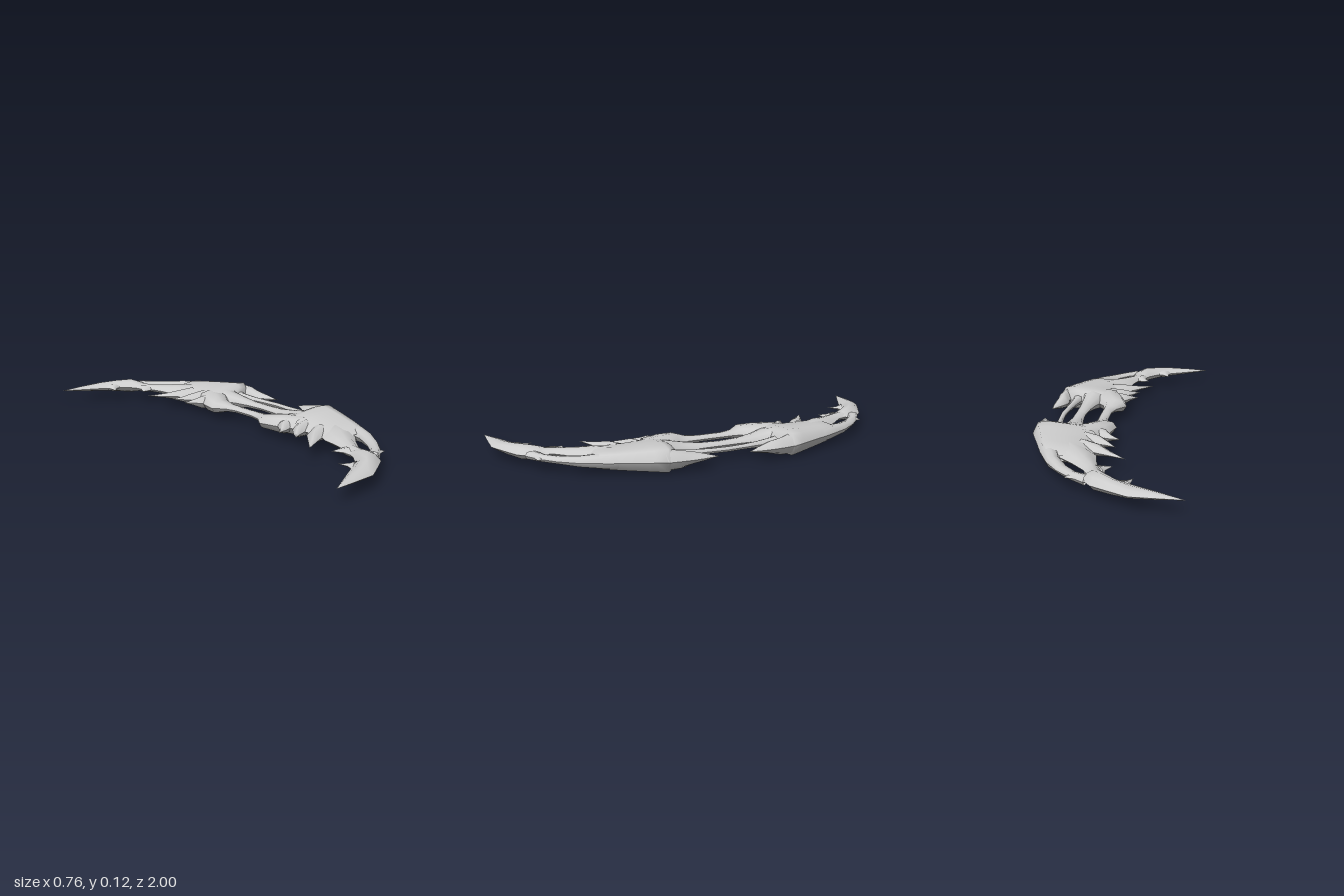
import * as THREE from 'three';
import { mergeGeometries } from 'three/addons/utils/BufferGeometryUtils.js';

const MID = 0.061; // height of the cutting-edge plane

// Cross-section profiles: [fraction across, fraction of height]
const LENS = [[0, 0], [0.22, 0.7], [0.5, 1], [0.78, 0.7], [1, 0]];
const HUMP = [[0, 0], [0.18, 0.62], [0.5, 0.85], [0.77, 1], [0.92, 0.88], [1, 0]];
const BAR = [[0, 0], [0.15, 0.8], [0.5, 1], [0.85, 0.8], [1, 0]];

// One curved skin lofted over stations [ax, az, bx, bz, height]
function skin(stations, profile, sy, sz) {
  const pos = [], index = [], n = profile.length;
  for (const [ax, az, bx, bz, h] of stations) {
    for (const [u, v] of profile) {
      pos.push(ax + (bx - ax) * u, MID + sy * h * v, sz * (az + (bz - az) * u));
    }
  }
  // Work out which way the skin faces so it always points outward
  const f = stations[0], l = stations[stations.length - 1];
  const dx = l[0] + l[2] - f[0] - f[2], dz = l[1] + l[3] - f[1] - f[3];
  let wx = 0, wz = 0;
  for (const s of stations) { wx += s[2] - s[0]; wz += s[3] - s[1]; }
  const flip = (dz * wx - dx * wz) * sy * sz < 0;
  for (let i = 0; i < stations.length - 1; i++) {
    for (let j = 0; j < n - 1; j++) {
      const a = i * n + j, b = a + n, c = a + 1, d = b + 1;
      if (flip) index.push(a, c, b, b, c, d);
      else index.push(a, b, c, b, d, c);
    }
  }
  const g = new THREE.BufferGeometry();
  g.setAttribute('position', new THREE.Float32BufferAttribute(pos, 3));
  g.setIndex(index);
  g.computeVertexNormals();
  return g;
}

export function createModel() {
  const metal = new THREE.MeshStandardMaterial({ color: 0xcccccc });
  metal.name = 'pale metal';
  metal.side = THREE.DoubleSide;
  const group = new THREE.Group();
  group.name = 'doubleBlade';

  // Upper and lower skins, mirrored to both ends of the weapon
  const add = (name, profile, stations) => {
    const parts = [];
    for (const sz of [1, -1]) for (const sy of [1, -1]) parts.push(skin(stations, profile, sy, sz));
    const mesh = new THREE.Mesh(mergeGeometries(parts), metal);
    mesh.name = name;
    group.add(mesh);
  };

  // Pointed end of each blade and its barbs
  add('bladeTip', LENS, [
    [-0.38, 1, -0.38, 1, 0], [-0.27, 0.942, -0.27, 1, 0.014], [-0.16, 0.885, -0.16, 0.998, 0.024],
    [-0.1, 0.855, -0.08, 0.955, 0.031], [-0.05, 0.8, 0, 0.91, 0.037],
    [-0.03, 0.755, 0.045, 0.85, 0.024], [-0.01, 0.74, 0.05, 0.8, 0.01],
  ]);
  add('innerBarb', LENS, [
    [-0.17, 0.9, -0.09, 0.86, 0.02], [-0.155, 0.86, -0.125, 0.85, 0.008], [-0.16, 0.81, -0.16, 0.81, 0],
  ]);
  add('lowerBarb', LENS, [
    [-0.04, 0.79, 0.02, 0.7, 0.02], [-0.035, 0.74, -0.01, 0.69, 0.01], [-0.06, 0.69, -0.06, 0.69, 0],
  ]);
  add('outerBarb', LENS, [
    [0.02, 0.88, 0.09, 0.79, 0.018], [0.06, 0.85, 0.105, 0.8, 0.01], [0.115, 0.84, 0.115, 0.84, 0],
  ]);

  // Two struts enclosing the opening behind the tip
  add('innerStrut', LENS, [
    [-0.03, 0.77, 0.03, 0.84, 0.022], [0, 0.7, 0.05, 0.755, 0.02], [0.02, 0.63, 0.12, 0.675, 0.026],
    [0.03, 0.57, 0.2, 0.6, 0.035], [0.07, 0.5, 0.25, 0.53, 0.035],
  ]);
  add('outerStrut', BAR, [
    [0.02, 0.82, 0.03, 0.88, 0.02], [0.07, 0.795, 0.11, 0.82, 0.016], [0.12, 0.735, 0.165, 0.765, 0.016],
    [0.17, 0.655, 0.225, 0.68, 0.025], [0.19, 0.58, 0.28, 0.56, 0.035], [0.2, 0.52, 0.295, 0.52, 0.035],
  ]);

  // Broad swollen blade body
  add('bladeBody', HUMP, [
    [0.025, 0.62, 0.24, 0.63, 0.012], [0.03, 0.585, 0.265, 0.59, 0.036], [0.05, 0.53, 0.295, 0.52, 0.042],
    [0.06, 0.46, 0.325, 0.44, 0.049], [0.06, 0.38, 0.352, 0.37, 0.055], [0.04, 0.31, 0.374, 0.31, 0.061],
    [0.04, 0.27, 0.345, 0.27, 0.048], [0.06, 0.235, 0.25, 0.245, 0],
  ]);

  // Hooked guard spike on the outer side
  add('guardSpike', LENS, [
    [0.27, 0.34, 0.372, 0.32, 0.055], [0.315, 0.25, 0.378, 0.25, 0.042], [0.305, 0.19, 0.38, 0.2, 0.03],
    [0.33, 0.14, 0.378, 0.15, 0.018], [0.37, 0.075, 0.37, 0.075, 0],
  ]);

  // Swept spikes along the inner side: tip, two middle sections, root
  const spikes = [
    [[-0.1, 0.6, -0.1, 0.6, 0], [-0.03, 0.525, -0.01, 0.56, 0.012], [0.03, 0.46, 0.05, 0.535, 0.028], [0.1, 0.42, 0.13, 0.52, 0.038]],
    [[-0.035, 0.455, -0.035, 0.455, 0], [0, 0.405, 0.01, 0.435, 0.013], [0.04, 0.36, 0.06, 0.42, 0.03], [0.1, 0.33, 0.13, 0.42, 0.04]],
    [[-0.04, 0.35, -0.04, 0.35, 0], [0, 0.315, 0.01, 0.345, 0.015], [0.03, 0.27, 0.05, 0.335, 0.032], [0.1, 0.25, 0.13, 0.33, 0.042]],
  ];
  spikes.forEach((s, i) => add('innerSpike' + (i + 1), LENS, s));

  // Three slender bars joining the two blades
  add('innerGrip', BAR, [
    [0.06, 0.35, 0.2, 0.35, 0.042], [0.02, 0.26, 0.18, 0.25, 0.042], [0, 0.175, 0.12, 0.17, 0.032],
    [0.045, 0.12, 0.11, 0.12, 0.018], [0.06, 0.06, 0.11, 0.06, 0.015], [0.06, 0, 0.11, 0, 0.015],
  ]);
  add('middleGrip', BAR, [
    [0.12, 0.34, 0.3, 0.32, 0.05], [0.13, 0.25, 0.245, 0.25, 0.042], [0.16, 0.17, 0.24, 0.17, 0.028],
    [0.175, 0.1, 0.236, 0.1, 0.018], [0.183, 0, 0.236, 0, 0.015],
  ]);
  add('outerGrip', BAR, [
    [0.22, 0.31, 0.31, 0.3, 0.032], [0.25, 0.24, 0.29, 0.24, 0.022], [0.265, 0.16, 0.295, 0.15, 0.015],
    [0.275, 0.08, 0.3, 0.08, 0.012], [0.28, 0, 0.305, 0, 0.012],
  ]);
  return group;
}
